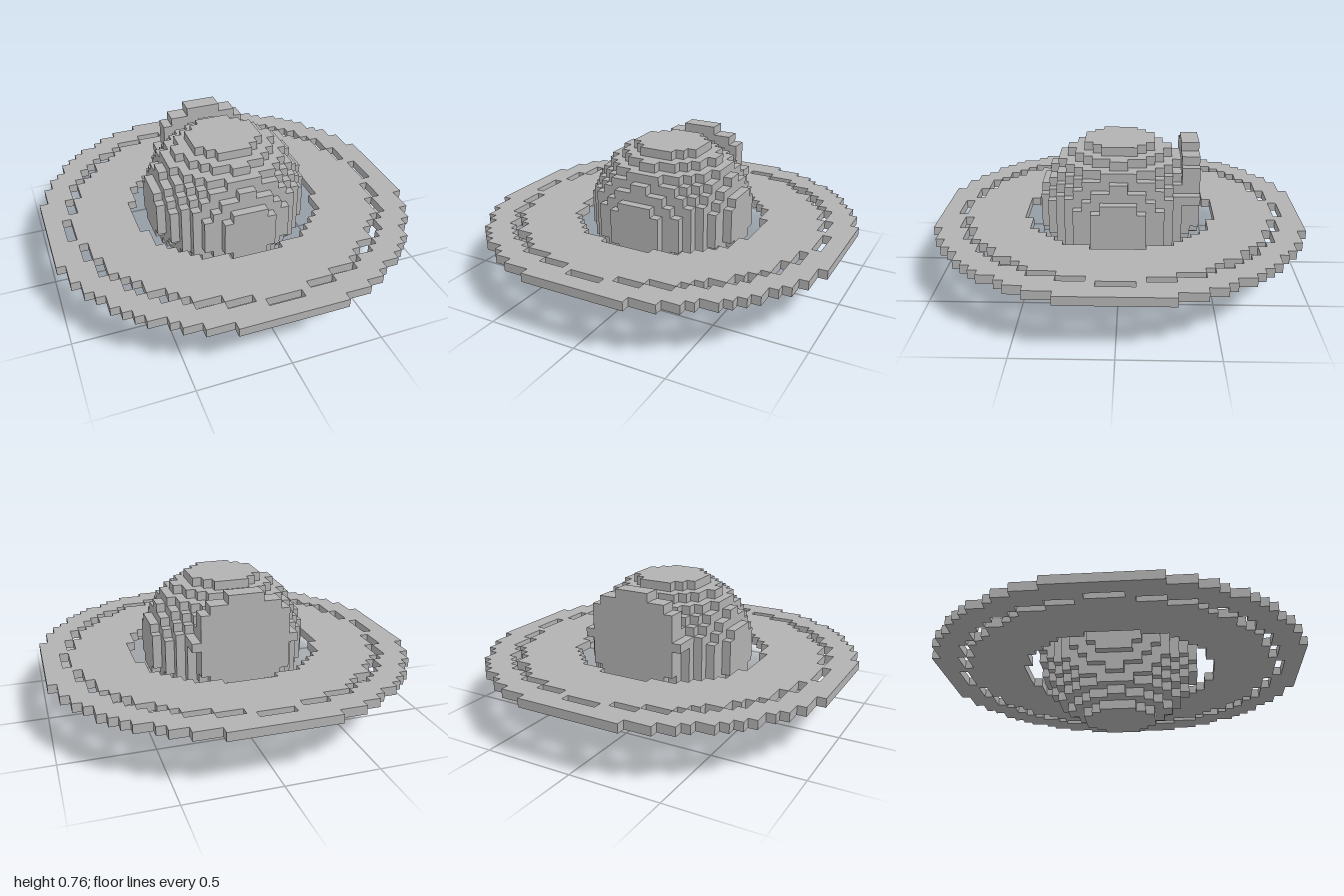
import * as THREE from 'three';

// The model is made of cubes, 42 of them across the ring.
const V = 1 / 21;
const MID = 8; // height of the globe's centre, in cubes

const stone = new THREE.MeshStandardMaterial({ color: 0xb2b2b2 });
stone.name = 'stone grey';

// Cell tests; x, y, z are cell centres measured from the globe's centre.
const inGlobe = (x, y, z) =>
  Math.abs(y) < 8 && x * x + 1.2 * y * y + z * z < 82.5;
const inDish = (x, y, z) =>
  z > -9 && z < -7 && x * x + (y - 2.5) ** 2 < 30.5 && !inGlobe(x, y, z);
const inBand = (inner, outer) => (x, y, z) => {
  const d = x * x + z * z;
  return y === -1.5 && d > inner && d < outer;
};

const parts = [
  ['globe', inGlobe],
  ['backDish', inDish],
  ['innerRing', inBand(121, 313.5)],
  ['outerRing', inBand(346, 457)],
];
const solid = (c) => parts.some(([, test]) => test(...c));

// Collects the outer faces of every cube that belongs to a part.
function cubeGeometry(inside) {
  const positions = [];
  const index = [];
  const addFace = (cell, axis, sign) => {
    const u = (axis + 1) % 3;
    const v = (axis + 2) % 3;
    const base = positions.length / 3;
    for (const [a, b] of [[-1, -1], [1, -1], [1, 1], [-1, 1]]) {
      const p = [...cell];
      p[axis] += sign / 2;
      p[u] += a / 2;
      p[v] += b / 2;
      positions.push(p[0] * V, (p[1] + MID) * V, p[2] * V);
    }
    const order = sign > 0 ? [0, 1, 2, 0, 2, 3] : [0, 2, 1, 0, 3, 2];
    index.push(...order.map((i) => base + i));
  };
  for (let x = -20.5; x < 21; x++) {
    for (let y = -7.5; y < 8; y++) {
      for (let z = -20.5; z < 21; z++) {
        if (!inside(x, y, z)) continue;
        for (let axis = 0; axis < 3; axis++) {
          for (const sign of [-1, 1]) {
            const next = [x, y, z];
            next[axis] += sign;
            if (!solid(next)) addFace([x, y, z], axis, sign);
          }
        }
      }
    }
  }
  const geometry = new THREE.BufferGeometry();
  geometry.setAttribute('position', new THREE.Float32BufferAttribute(positions, 3));
  geometry.setIndex(index);
  geometry.computeVertexNormals();
  return geometry;
}

export function createModel() {
  const model = new THREE.Group();
  model.name = 'ringedPlanet';
  for (const [name, test] of parts) {
    const mesh = new THREE.Mesh(cubeGeometry(test), stone);
    mesh.name = name;
    model.add(mesh);
  }
  return model;
}
